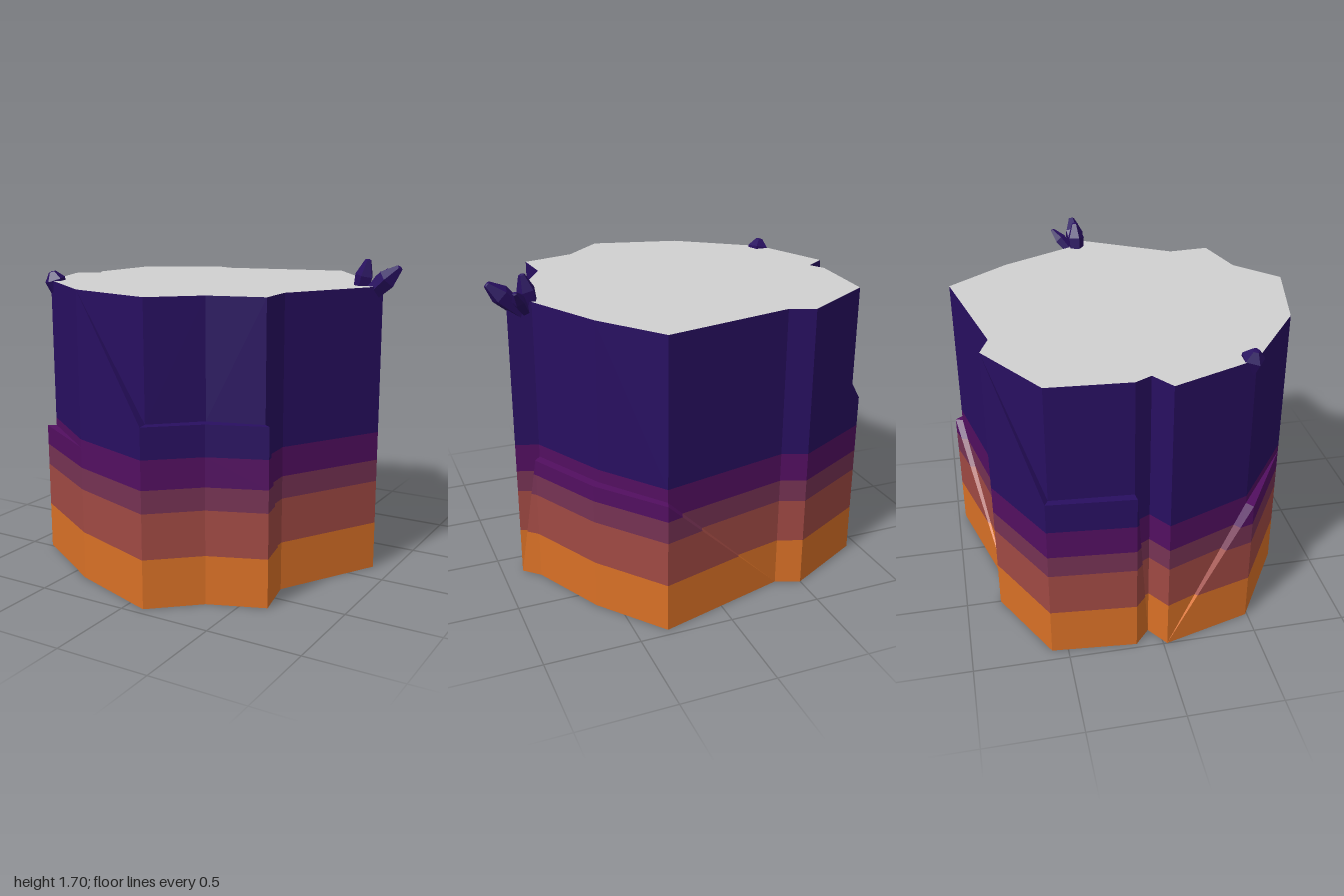
import * as THREE from 'three';

const TOP = 1.56;

// Rock strata, bottom to top: name, colour, lower and upper height
const BANDS = [
  ['orange', 0xd87026, 0, 0.26],
  ['rust', 0x9f4943, 0.26, 0.5],
  ['mauve', 0x753253, 0.5, 0.62],
  ['purple', 0x520f60, 0.62, 0.775],
  ['navy', 0x280f60, 0.775, TOP],
];

// Columns round the outline: outer x, z, upper x, z, then the step height
// used by the face before and by the face after the column
const step = (x, z, ix, iz, h) => ({ o: [x, z], i: [ix, iz], before: h, after: h });
const plain = (x, z, before = 0, after = 0) => ({ o: [x, z], i: [x, z], before, after });
const COLUMNS = [
  plain(-1, 0.02),
  step(-0.87, 0.49, -0.83, 0.46, 0.73),
  plain(-0.4, 0.78, 0.73, TOP),
  step(0.1, 0.955, 0.09, 0.895, 0.94),
  step(0.34, 0.745, 0.31, 0.685, 0.94),
  step(0.635, 0.63, 0.6, 0.605, 0.94),
  plain(0.585, 0.385),
  plain(0.89, -0.15),
  step(0.805, -0.23, 0.77, -0.19, 0.705),
  step(0.61, -0.62, 0.57, -0.59, 0.705),
  step(0.34, -0.96, 0.325, -0.92, 0.705),
  plain(-0.37, -0.765),
  plain(-0.5, -0.815, 0, TOP),
  step(-0.935, -0.585, -0.9, -0.565, 0.94),
  step(-0.975, -0.14, -0.93, -0.145, 0.94),
  plain(-0.885, -0.06),
];

// Keeps the part of a polygon above (sign 1) or below (sign -1) a height
function clip(poly, y, sign) {
  const out = [];
  poly.forEach((a, k) => {
    const b = poly[(k + 1) % poly.length];
    const da = (a.y - y) * sign, db = (b.y - y) * sign;
    if (da >= 0) out.push(a);
    if (da * db < 0) out.push(a.clone().lerp(b, da / (da - db)));
  });
  return out;
}

// Lower wall, ledge and upper wall for each side of the rock
function wallPolygons() {
  const at = ([x, z], y) => new THREE.Vector3(x, y, z);
  const polys = [];
  COLUMNS.forEach((a, k) => {
    const b = COLUMNS[(k + 1) % COLUMNS.length];
    const ha = a.after, hb = b.before;
    polys.push([at(a.o, 0), at(b.o, 0), at(b.o, hb), at(a.o, ha)]);
    polys.push([at(a.o, ha), at(b.o, hb), at(b.i, hb), at(a.i, ha)]);
    polys.push([at(a.i, ha), at(b.i, hb), at(b.i, TOP), at(a.i, TOP)]);
  });
  return polys;
}

function bandGeometry(polys, y0, y1) {
  const pos = [];
  const ab = new THREE.Vector3(), ac = new THREE.Vector3();
  for (const poly of polys) {
    // horizontal ledges belong to one band only
    const p = clip(clip(poly, y0, 1), y1, -1);
    for (let k = 1; k + 1 < p.length; k++) {
      ab.subVectors(p[k], p[0]);
      ac.subVectors(p[k + 1], p[0]);
      if (ab.cross(ac).length() < 1e-7) continue;
      for (const v of [p[0], p[k], p[k + 1]]) pos.push(v.x, v.y, v.z);
    }
  }
  const g = new THREE.BufferGeometry();
  g.setAttribute('position', new THREE.Float32BufferAttribute(pos, 3));
  g.computeVertexNormals();
  return g;
}

// Five-sided crystal from base to tip
function crystal(name, base, tip, r, material) {
  const from = new THREE.Vector3(...base);
  const dir = new THREE.Vector3(...tip).sub(from);
  const h = dir.length();
  const profile = [[0, 0], [r * 0.75, 0], [r, h * 0.6], [r * 0.35, h * 0.97], [0, h]]
    .map(([x, y]) => new THREE.Vector2(x, y));
  const g = new THREE.LatheGeometry(profile, 5).toNonIndexed();
  g.computeVertexNormals();
  const mesh = new THREE.Mesh(g, material);
  mesh.name = name;
  mesh.position.copy(from);
  mesh.quaternion.setFromUnitVectors(new THREE.Vector3(0, 1, 0), dir.normalize());
  return mesh;
}

export function createModel() {
  const model = new THREE.Group();
  model.name = 'layeredRock';
  const makeMaterial = (name, color) => {
    const m = new THREE.MeshStandardMaterial({ color, side: THREE.DoubleSide, flatShading: true });
    m.name = name;
    return m;
  };

  // Layered walls, open underneath
  const polys = wallPolygons();
  let navy;
  for (const [name, color, y0, y1] of BANDS) {
    navy = makeMaterial(name, color);
    const mesh = new THREE.Mesh(bandGeometry(polys, y0, y1), navy);
    mesh.name = name + 'Layer';
    model.add(mesh);
  }

  // Flat top
  const shape = new THREE.Shape(COLUMNS.map(({ i }) => new THREE.Vector2(i[0], -i[1])));
  const cap = new THREE.Mesh(new THREE.ShapeGeometry(shape), makeMaterial('paleGrey', 0xd0d0d0));
  cap.name = 'flatTop';
  cap.rotation.x = -Math.PI / 2;
  cap.position.y = TOP;
  model.add(cap);

  // Crystals on the rim
  const crystals = new THREE.Group();
  crystals.name = 'crystals';
  crystals.add(
    crystal('outerCrystal', [0.81, 1.5, -0.14], [0.985, 1.665, -0.145], 0.055, navy),
    crystal('tallCrystal', [0.755, 1.48, -0.15], [0.805, 1.7, -0.15], 0.05, navy),
    crystal('rearCrystal', [0.8, 1.51, -0.17], [0.875, 1.64, -0.28], 0.035, navy),
    crystal('smallCrystal', [-0.795, 1.49, 0.435], [-0.825, 1.61, 0.455], 0.06, navy),
  );
  model.add(crystals);
  return model;
}
